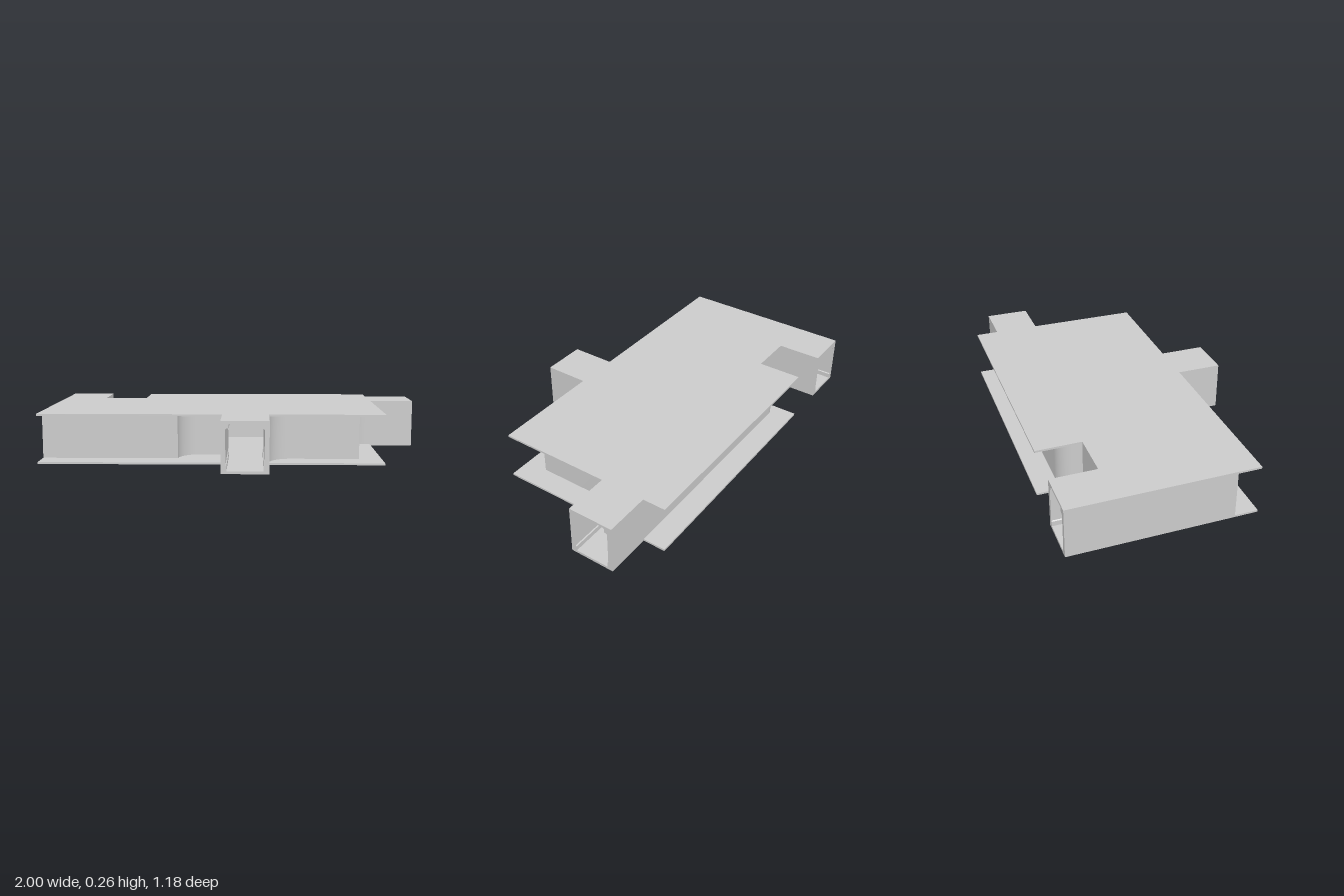
import * as THREE from 'three';
import { toCreasedNormals } from 'three/addons/utils/BufferGeometryUtils.js';

const H = 0.257, T = 0.01, W = 0.235;

export function createModel() {
  const model = new THREE.Group();
  const grey = new THREE.MeshStandardMaterial({ color: 0xcccccc });
  const thin = new THREE.MeshStandardMaterial({ color: 0xcccccc, side: THREE.DoubleSide });
  const add = (name, geometry, material = grey) => {
    const mesh = new THREE.Mesh(geometry, material);
    mesh.name = name;
    model.add(mesh);
    return mesh;
  };
  const shapeOf = (pts, Type = THREE.Shape) => new Type(pts.map(([x, y]) => new THREE.Vector2(x, y)));

  // Floor and roof plates share one plan outline, given as x, z
  const plan = [
    [-1, -0.588], [-0.765, -0.588], [-0.765, -0.353], [-0.53, -0.353], [-0.53, -0.588],
    [0.763, -0.588], [0.763, -0.47], [1, -0.47], [1, -0.235], [0.763, -0.235], [0.763, 0.353],
    [0.175, 0.353], [0.175, 0.588], [-0.06, 0.588], [-0.06, 0.353], [-1, 0.353],
  ];
  const plate = new THREE.ExtrudeGeometry(shapeOf(plan), { depth: T, bevelEnabled: false });
  plate.rotateX(Math.PI / 2);
  add('floorPlate', plate).position.y = T;
  add('roofPlate', plate).position.y = H;

  // Passages: square sleeves with a stepped tunnel through them
  const b = W / 2;
  const section = shapeOf([[-b, T], [b, T], [b, H - T], [-b, H - T]]);
  const half = [[0.089, 0.013], [0.089, 0.038], [0.094, 0.042], [0.094, 0.215], [0.089, 0.22],
    [0.078, 0.22], [0.078, 0.238], [0.073, 0.245]];
  section.holes.push(shapeOf([...half, ...half.map(([x, y]) => [-x, y]).reverse()], THREE.Path));
  const sleeve = (name, x, z, turn, length) => {
    const g = new THREE.ExtrudeGeometry(section, { depth: length, bevelEnabled: false });
    g.translate(0, 0, -length); // mouth sits at the local origin, facing +z
    const mesh = add(name, g);
    mesh.position.set(x, 0, z);
    mesh.rotation.y = turn;
  };
  sleeve('frontPassage', 0.0575, 0.588, 0, 0.47);
  sleeve('leftPassage', 1, -0.3525, Math.PI / 2, 0.47);
  sleeve('backPassage', -0.8825, -0.588, Math.PI, 0.47);

  // Walls: upright ribbons between the plates, following a plan path
  const wall = (name, path) => {
    const pts = path.getPoints(12), pos = [];
    for (let i = 0; i < pts.length - 1; i++) {
      const p = pts[i], q = pts[i + 1], lo = T, hi = H - T;
      pos.push(p.x, lo, p.y, q.x, lo, q.y, q.x, hi, q.y, p.x, lo, p.y, q.x, hi, q.y, p.x, hi, p.y);
    }
    const g = new THREE.BufferGeometry();
    g.setAttribute('position', new THREE.Float32BufferAttribute(pos, 3));
    add(name, toCreasedNormals(g, 0.6), thin);
  };
  // Quarter round from the current point to (x, z), bending towards the corner (cx, cz)
  const round = (path, cx, cz, x, z) => {
    const k = 0.5523, p = path.currentPoint;
    path.bezierCurveTo(p.x + (cx - p.x) * k, p.y + (cz - p.y) * k,
      x + (cx - x) * k, z + (cz - z) * k, x, z);
  };

  const right = new THREE.Path().moveTo(-1, -0.118).lineTo(-1, 0.235).lineTo(-0.295, 0.235);
  round(right, -0.295, 0.118, -0.177, 0.118);
  right.lineTo(-0.06, 0.118);
  wall('rightWall', right);

  const left = new THREE.Path().moveTo(0.175, 0.353);
  round(left, 0.175, 0.235, 0.293, 0.235);
  left.lineTo(0.645, 0.235).lineTo(0.645, -0.118);
  round(left, 0.645, -0.235, 0.763, -0.235);
  wall('leftWall', left);

  const back = new THREE.Path().moveTo(0.53, -0.47).lineTo(-0.44, -0.47);
  round(back, -0.53, -0.47, -0.53, -0.38);
  back.lineTo(-0.53, -0.353).lineTo(-0.765, -0.353);
  wall('backWall', back);

  return model;
}
